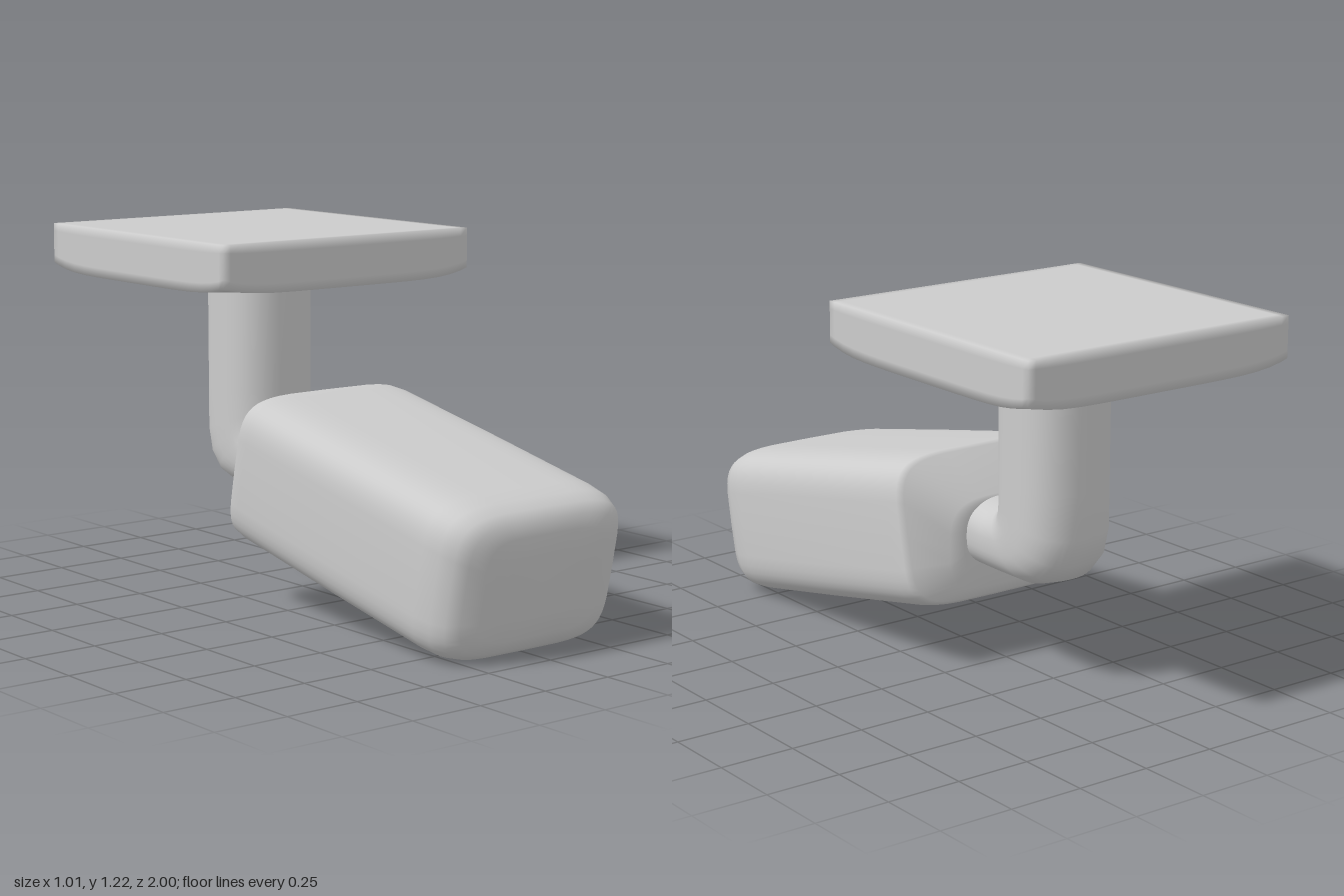
import * as THREE from 'three';
import { mergeVertices } from 'three/addons/utils/BufferGeometryUtils.js';

const material = new THREE.MeshStandardMaterial({ color: 0xcccccc });
const SIDES = 48;

// Superellipse ring: centre (z, y), half-height direction (hz, hy), half-width hx
function ring(z, y, hz, hy, hx, power) {
  const points = [];
  for (let j = 0; j < SIDES; j++) {
    const t = (j / SIDES) * Math.PI * 2;
    const bend = (v) => Math.sign(v) * Math.pow(Math.abs(v), 2 / power);
    const c = bend(Math.cos(t)), s = bend(Math.sin(t));
    points.push([hx * c, y + hy * s, z + hz * s]);
  }
  return points;
}

// Smooth skin through a list of rings
function loft(rings) {
  const index = [];
  for (let i = 0; i < rings.length - 1; i++) {
    for (let j = 0; j < SIDES; j++) {
      const k = (j + 1) % SIDES;
      const a = i * SIDES + j, b = i * SIDES + k;
      index.push(a, a + SIDES, b, b, a + SIDES, b + SIDES);
    }
  }
  const geometry = new THREE.BufferGeometry();
  geometry.setAttribute('position', new THREE.Float32BufferAttribute(rings.flat(2), 3));
  geometry.setIndex(index);
  geometry.computeVertexNormals();
  return geometry;
}

function part(name, geometry) {
  const mesh = new THREE.Mesh(geometry, material);
  mesh.name = name;
  return mesh;
}

// Tilted housing with a soft front and a bulging rear that meets the neck
function housing() {
  const tilt = 0.202, c = Math.cos(tilt), s = Math.sin(tilt), length = 1.16;
  const section = (w, hx, hy) =>
    ring(0.965 - w * c, 0.25 + w * s, hy * s, hy * c, hx, 5);
  const rings = [
    [0, 0, 0], [0, 0.14, 0.1], [0.004, 0.24, 0.17], [0.02, 0.3, 0.212],
    [0.05, 0.335, 0.238], [0.1, 0.353, 0.251], [0.17, 0.36, 0.255],
    [0.6, 0.362, 0.256], [length - 0.07, 0.36, 0.255],
    [length - 0.02, 0.354, 0.251], [length, 0.338, 0.241],
  ].map((r) => section(...r));
  rings.push(ring(-0.225, 0.43, 0, 0.155, 0.21, 3.5));
  rings.push(ring(-0.235, 0.45, 0, 0.12, 0.16, 3));
  rings.push(ring(-0.235, 0.45, 0, 0, 0, 2));
  return loft(rings);
}

// Elbow arm: each row holds the inner (z, y), outer (z, y) and half-width
function arm() {
  return loft([
    [-0.2, 0.58, -0.2, 0.35, 0.15],
    [-0.29, 0.575, -0.33, 0.35, 0.155],
    [-0.315, 0.58, -0.5, 0.352, 0.16],
    [-0.325, 0.585, -0.58, 0.38, 0.163],
    [-0.33, 0.595, -0.632, 0.44, 0.165],
    [-0.33, 0.62, -0.655, 0.53, 0.165],
    [-0.33, 0.7, -0.655, 0.68, 0.165],
    [-0.33, 1.03, -0.655, 1.03, 0.165],
    [-0.33, 1.1, -0.655, 1.1, 0.165],
  ].map(([iz, iy, oz, oy, hx]) =>
    ring((iz + oz) / 2, (iy + oy) / 2, (iz - oz) / 2, (iy - oy) / 2, hx, 2.5)));
}

// Square ceiling plate, its bottom corners slightly raised
function plate() {
  const half = 0.505, height = 0.165;
  let geometry = new THREE.BoxGeometry(2, 2, 2, 16, 4, 16);
  geometry.deleteAttribute('normal');
  geometry.deleteAttribute('uv');
  geometry = mergeVertices(geometry);
  const p = geometry.attributes.position;
  const tighten = (v) => Math.sign(v) * (1 - Math.pow(1 - Math.abs(v), 1.4));
  for (let i = 0; i < p.count; i++) {
    const x = tighten(p.getX(i)), y = tighten(p.getY(i)), z = tighten(p.getZ(i));
    const lift = 0.03 * Math.pow(Math.abs(x * z), 6) * (1 - y) / 2;
    p.setXYZ(i, x * half, y * height / 2 + lift, z * half);
  }
  geometry.computeVertexNormals();
  return geometry;
}

export function createModel() {
  const group = new THREE.Group();
  group.name = 'ceilingCamera';
  const ceilingPlate = part('ceilingPlate', plate());
  ceilingPlate.position.set(0, 1.16, -0.495);
  group.add(part('cameraHousing', housing()), part('mountArm', arm()), ceilingPlate);
  return group;
}
